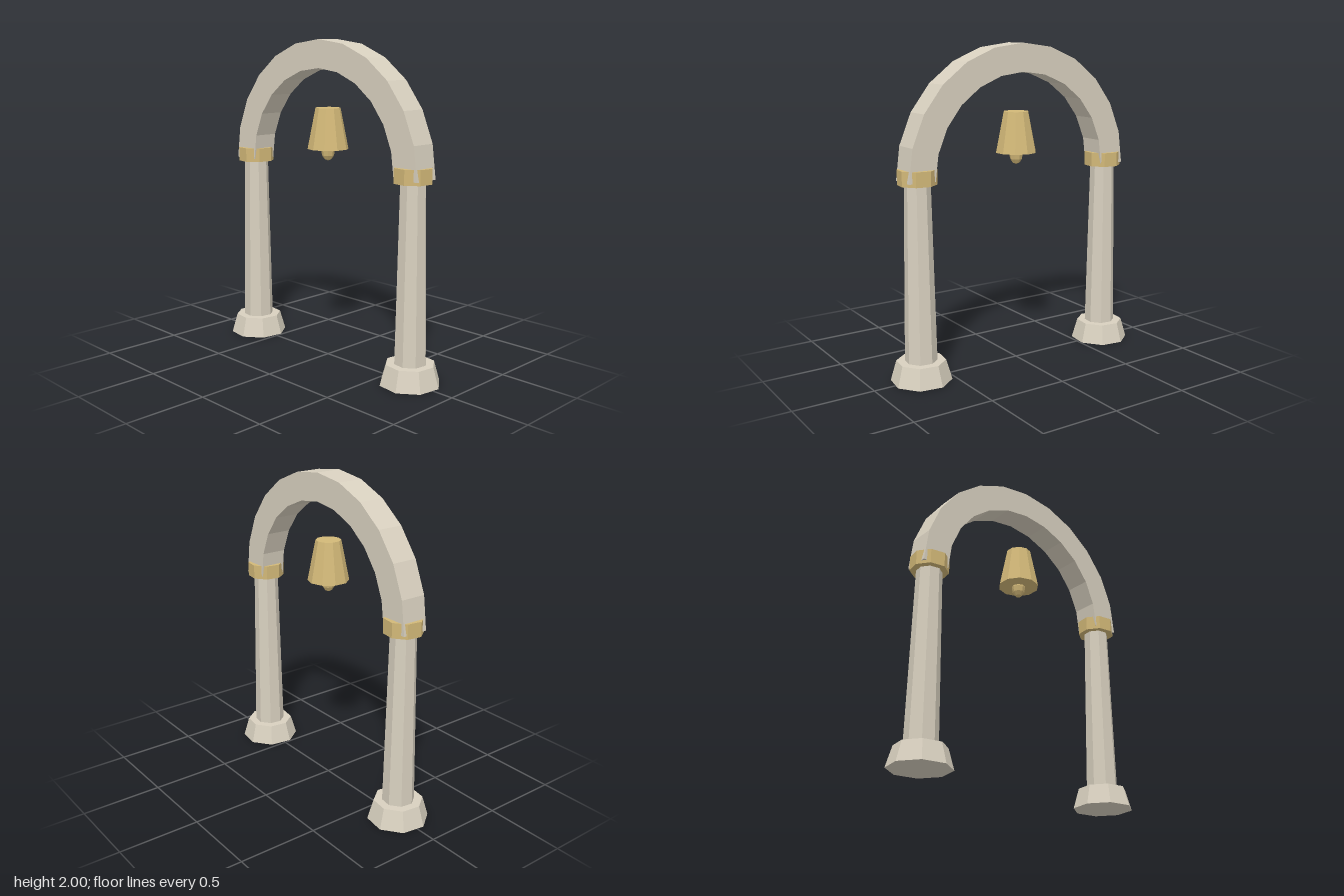
import * as THREE from 'three';

const stone = new THREE.MeshStandardMaterial({ color: 0xd8d0bf, flatShading: true });
stone.name = 'pale stone';
const gold = new THREE.MeshStandardMaterial({ color: 0xd2b878, flatShading: true });
gold.name = 'dull gold';

const PILLAR_X = 0.688; // distance of each pillar from the middle
const TWIST = 0.25; // turn of the octagonal pillars
const SPRING_Y = 1.217; // height of the arch centre

function add(parent, name, geometry, material, y = 0) {
  const mesh = new THREE.Mesh(geometry, material);
  mesh.name = name;
  mesh.position.y = y;
  parent.add(mesh);
  return mesh;
}

// Tapered prism standing between two heights
function prism(parent, name, material, rTop, rBottom, y0, y1, sides) {
  const geometry = new THREE.CylinderGeometry(rTop, rBottom, y1 - y0, sides);
  return add(parent, name, geometry, material, (y0 + y1) / 2);
}

// Half ring with straight segments
function archGeometry(outer, inner, depth, segments) {
  const points = [];
  const ring = (r, i) => {
    const a = (i / segments) * Math.PI;
    points.push(new THREE.Vector2(r * Math.cos(a), r * Math.sin(a)));
  };
  for (let i = 0; i <= segments; i++) ring(outer, i);
  for (let i = segments; i >= 0; i--) ring(inner, i);
  return new THREE.ExtrudeGeometry(new THREE.Shape(points), { depth, bevelEnabled: false })
    .translate(0, 0, -depth / 2);
}

export function createModel() {
  const model = new THREE.Group();
  model.name = 'bellArch';

  // Pillars: foot, shaft and gold collar
  for (const [side, name] of [[-1, 'rightPillar'], [1, 'leftPillar']]) {
    const pillar = new THREE.Group();
    pillar.name = name;
    pillar.position.x = side * PILLAR_X;
    pillar.rotation.y = TWIST;
    prism(pillar, 'foot', stone, 0.15, 0.186, 0, 0.125, 8);
    prism(pillar, 'shaft', stone, 0.078, 0.098, 0.125, 1.2, 8);
    prism(pillar, 'collar', gold, 0.117, 0.117, 1.197, 1.287, 8);
    model.add(pillar);
  }

  // Arch resting in the collars
  add(model, 'arch', archGeometry(0.783, 0.611, 0.164, 12), stone, SPRING_Y);

  // Floating bell with its clapper
  const bell = new THREE.Group();
  bell.name = 'bell';
  prism(bell, 'bellBody', gold, 0.078, 0.128, 1.333, 1.586, 10);
  const clapper = add(bell, 'clapper', new THREE.SphereGeometry(0.043, 8, 6), gold, 1.325);
  clapper.scale.y = 1.53;
  model.add(bell);

  return model;
}
